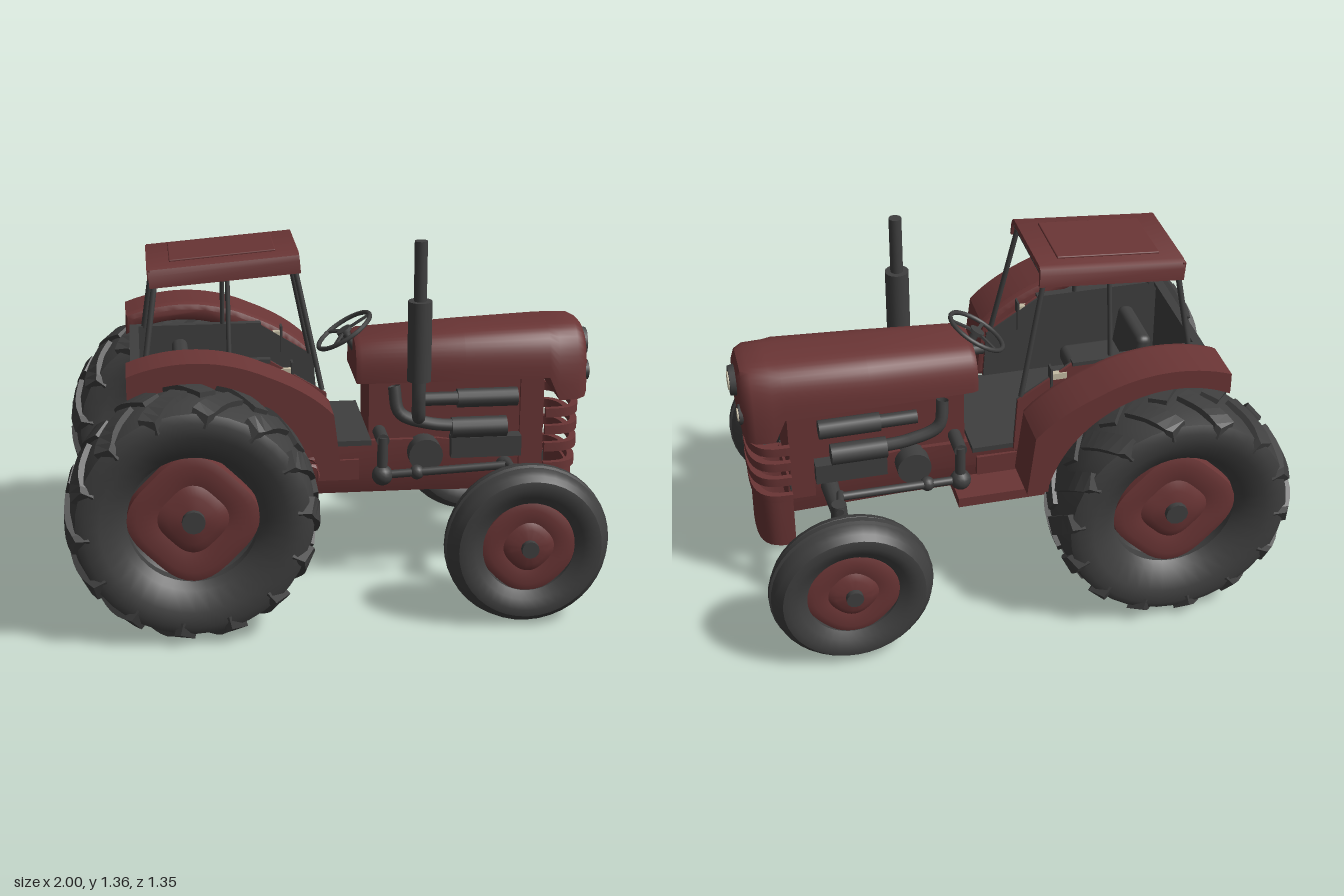
import * as THREE from 'three';
import { mergeGeometries, toCreasedNormals } from 'three/addons/utils/BufferGeometryUtils.js';
import { RoundedBoxGeometry } from 'three/addons/geometries/RoundedBoxGeometry.js';

const V = (x, y, z) => new THREE.Vector3(x, y, z);

export function createModel() {
  const red = new THREE.MeshStandardMaterial({ color: 0x6a3535 });
  const dark = new THREE.MeshStandardMaterial({ color: 0x3f3f3f });
  const cream = new THREE.MeshStandardMaterial({ color: 0xc4bca4 });
  red.name = 'oxide red'; dark.name = 'charcoal'; cream.name = 'lamp cream';
  red.side = dark.side = THREE.DoubleSide;
  const model = new THREE.Group();
  model.name = 'tractor';

  const add = (name, geo, mat, pos = [0, 0, 0], parent = model) => {
    const m = new THREE.Mesh(geo, mat);
    m.name = name;
    m.position.set(...pos);
    parent.add(m);
    return m;
  };
  const box = (name, mat, x0, x1, y0, y1, z0, z1) => add(name,
    new THREE.BoxGeometry(x1 - x0, y1 - y0, z1 - z0), mat, [(x0 + x1) / 2, (y0 + y1) / 2, (z0 + z1) / 2]);
  const rod = (name, mat, a, b, r, r2 = r, n = 14) => {
    const p = V(...a), q = V(...b), d = q.clone().sub(p);
    const m = add(name, new THREE.CylinderGeometry(r2, r, d.length(), n), mat, p.clone().add(q).multiplyScalar(0.5).toArray());
    m.quaternion.setFromUnitVectors(V(0, 1, 0), d.normalize());
    return m;
  };
  const tube = (name, mat, pts, r) => add(name,
    new THREE.TubeGeometry(new THREE.CatmullRomCurve3(pts.map(p => V(...p))), 24, r, 10), mat);
  const ball = (name, mat, pos, r) => add(name, new THREE.SphereGeometry(r, 14, 10), mat, pos);
  const shapeOf = pts => new THREE.Shape(pts.map(p => new THREE.Vector2(...p)));
  const extrude = (shape, depth) => toCreasedNormals(
    new THREE.ExtrudeGeometry(shape, { depth, bevelEnabled: false, curveSegments: 16 }), 0.6);
  const sides = fn => [1, -1].forEach(fn);

  // Skin between rings along +x; each ring runs from +z over the top to -z
  const loft = (rings, crease = 0.6) => {
    const pos = [], n = rings[0].length;
    const tri = (a, b, c) => pos.push(...a, ...b, ...c);
    const centre = r => [0, 1, 2].map(k => r.reduce((s, p) => s + p[k], 0) / n);
    const first = rings[0], last = rings[rings.length - 1], c0 = centre(first), c1 = centre(last);
    for (let j = 0; j < n; j++) {
      const k = (j + 1) % n;
      for (let i = 0; i < rings.length - 1; i++) {
        const a = rings[i], b = rings[i + 1];
        tri(a[j], b[j], a[k]);
        tri(b[j], b[k], a[k]);
      }
      tri(c0, first[j], first[k]);
      tri(c1, last[k], last[j]);
    }
    const g = new THREE.BufferGeometry();
    g.setAttribute('position', new THREE.Float32BufferAttribute(pos, 3));
    return toCreasedNormals(g, crease);
  };

  // Bonnet: x, half width, bottom, top
  const arch = ([x, w, yb, yt]) => Array.from({ length: 25 }, (_, i) => {
    const t = Math.PI * i / 24, c = Math.cos(t);
    return [x, yb + (yt - yb) * Math.max(0, Math.sin(t)) ** 0.75, w * Math.sign(c) * Math.abs(c) ** 0.55];
  });
  add('bonnet', loft([[0.09, 0.15, 0.8, 0.95], [0.11, 0.158, 0.8, 0.963], [0.5, 0.175, 0.805, 0.985],
    [0.82, 0.188, 0.81, 0.998], [0.86, 0.188, 0.72, 1], [0.93, 0.182, 0.72, 1],
    [0.96, 0.165, 0.725, 0.985], [0.972, 0.14, 0.74, 0.955]].map(arch), 0.7), red);

  // Headlamps
  const lamp = (y, z, r, x) => {
    const bezel = add('lampBezel', new THREE.CylinderGeometry(r, r * 1.1, 0.03, 12), dark, [x, y, z]);
    bezel.rotation.z = -Math.PI / 2;
    const lens = add('lampLens', new THREE.CylinderGeometry(r * 0.66, r * 0.66, 0.008, 8), cream, [x + 0.016, y, z]);
    lens.rotation.z = -Math.PI / 2;
  };
  lamp(0.895, 0, 0.055, 0.98);
  sides(s => lamp(0.815, s * 0.112, 0.038, 0.965));

  // Curved grille bars and nose panel
  const band = (name, y0, y1, w, nose) => {
    const outer = [], inner = [];
    for (let i = 0; i <= 16; i++) {
      const t = Math.PI * (i / 16 - 0.5), c = Math.max(0, Math.cos(t)) ** 0.6, s = Math.sign(Math.sin(t)) * Math.abs(Math.sin(t)) ** 0.7;
      outer.push([0.81 + (nose - 0.81) * c, w * s]);
      inner.unshift([0.81 + (nose - 0.835) * c, (w - 0.022) * s]);
    }
    const g = extrude(shapeOf([...outer, ...inner]), y1 - y0);
    g.rotateX(-Math.PI / 2);
    add(name, g, red, [0, y0, 0]);
  };
  [0.65, 0.58, 0.51].forEach((y, i) => band('grilleBar', y, y + 0.035, 0.182 - i * 0.003, 0.96));
  band('nosePanelRim', 0.435, 0.465, 0.175, 0.955);
  band('nosePanel', 0.222, 0.435, 0.162, 0.945);
  box('radiator', red, 0.72, 0.81, 0.42, 0.81, -0.14, 0.14);
  box('radiatorSlot', dark, 0.81, 0.815, 0.46, 0.5, -0.14, 0.14);

  // Chassis, engine and rear housing
  const trap = ([x, y0, y1, wt, wb]) => [[x, (y0 + y1) / 2, wt], [x, y1, wt], [x, y1, -wt], [x, (y0 + y1) / 2, -wt], [x, y0, -wb], [x, y0, wb]];
  add('chassis', loft([[-0.65, 0.32, 0.6, 0.2, 0.14], [-0.5, 0.28, 0.6, 0.23, 0.14], [-0.25, 0.31, 0.58, 0.22, 0.14],
    [-0.05, 0.35, 0.57, 0.15, 0.11], [0.4, 0.35, 0.57, 0.14, 0.11], [0.82, 0.33, 0.5, 0.12, 0.1]].map(trap)), red);
  box('engineBlock', red, 0.14, 0.74, 0.5, 0.82, -0.125, 0.125);
  add('differentialHousing', new RoundedBoxGeometry(0.4, 0.38, 0.39, 6, 0.1), red, [-0.585, 0.44, 0]);
  box('sidePlate', red, -0.06, 0.1, 0.42, 0.5, -0.16, 0.16);
  box('stepBox', red, -0.16, 0.2, 0.37, 0.41, -0.28, -0.14);

  // Drawbar
  box('drawbar', red, -0.83, -0.6, 0.26, 0.29, -0.035, 0.035);
  const eye = add('drawbarEye', new THREE.TorusGeometry(0.027, 0.012, 8, 16), red, [-0.845, 0.275, 0]);
  eye.rotation.x = Math.PI / 2;

  // Cab tub with dark lining and rim
  const tub = [[-0.74, 0.58], [-0.74, 0.93], [-0.24, 0.93], [-0.035, 0.8], [-0.02, 0.58]];
  sides(s => {
    add('cabSide', extrude(shapeOf(tub), 0.012), red, [0, 0, s * 0.246 - 0.006]);
    add('cabSideLining', extrude(shapeOf(tub), 0.006), dark, [0, 0, s * 0.236 - 0.003]);
    box('cabSideRim', dark, -0.745, -0.24, 0.925, 0.94, s * 0.245 - 0.016, s * 0.245 + 0.016);
    box('workLamp', cream, -0.22, -0.165, 0.875, 0.9, s * 0.247 - 0.011, s * 0.247 + 0.011);
    box('workLampGuard', dark, -0.165, -0.157, 0.8, 0.925, s * 0.242 - 0.02, s * 0.242 + 0.02);
  });
  box('cabRear', red, -0.745, -0.733, 0.56, 0.93, -0.245, 0.245);
  box('cabRearLining', dark, -0.732, -0.726, 0.58, 0.93, -0.24, 0.24);
  box('cabRearRim', dark, -0.75, -0.715, 0.925, 0.94, -0.26, 0.26);
  box('floor', dark, -0.74, 0.135, 0.585, 0.605, -0.24, 0.24);

  // Seat
  add('seatCushion', new RoundedBoxGeometry(0.24, 0.07, 0.26, 3, 0.025), dark, [-0.42, 0.74, 0]);
  add('seatBack', new RoundedBoxGeometry(0.06, 0.2, 0.26, 3, 0.025), dark, [-0.55, 0.82, 0]).rotation.z = 0.15;
  box('seatBase', dark, -0.5, -0.34, 0.6, 0.72, -0.08, 0.08);

  // Roof: hollow shell with rounded sides, dark lining, and its posts
  const roof = new THREE.Group();
  roof.name = 'roof';
  roof.position.set(-0.4, 1.265, 0);
  roof.rotation.z = 0.08;
  model.add(roof);
  const half = [[0.21, -0.04], [0.207, 0.005], [0.197, 0.025], [0.178, 0.034]];
  const hollow = [[0.17, 0.014], [0.188, 0.008], [0.198, -0.04]];
  const flip = pts => pts.map(([z, y]) => [-z, y]).reverse();
  add('roofShell', extrude(shapeOf([...half, ...flip(half), ...flip(hollow), ...hollow]), 0.55).rotateY(Math.PI / 2),
    red, [-0.275, 0, 0], roof);
  add('roofRearLip', new THREE.BoxGeometry(0.012, 0.035, 0.4), red, [-0.273, 0.008, 0], roof);
  add('roofPanel', new RoundedBoxGeometry(0.39, 0.01, 0.27, 2, 0.004), red, [0, 0.036, 0], roof);
  add('roofLining', new THREE.BoxGeometry(0.535, 0.006, 0.375), dark, [0.004, 0.004, 0], roof);
  sides(s => {
    rod('frontPost', dark, [-0.145, 1.27, s * 0.19], [-0.05, 0.81, s * 0.238], 0.01);
    rod('middlePost', dark, [-0.39, 1.26, s * 0.19], [-0.39, 0.93, s * 0.24], 0.009);
    rod('rearPost', dark, [-0.65, 1.24, s * 0.19], [-0.695, 0.93, s * 0.24], 0.011);
  });

  // Steering wheel
  const steer = new THREE.Group();
  steer.name = 'steeringWheel';
  steer.position.set(0.06, 0.965, 0);
  steer.rotation.z = 0.57;
  model.add(steer);
  add('steeringRim', new THREE.TorusGeometry(0.115, 0.009, 8, 28).rotateX(Math.PI / 2), dark, [0, 0, 0], steer);
  add('steeringHub', new THREE.CylinderGeometry(0.03, 0.03, 0.014, 16), dark, [0, 0, 0], steer);
  for (let i = 0; i < 3; i++) add('steeringSpoke', new THREE.BoxGeometry(0.11, 0.008, 0.014).translate(0.055, 0, 0), dark, [0, 0, 0], steer).rotation.y = i * Math.PI * 2 / 3;
  rod('steeringColumn', dark, [0.06, 0.965, 0], [0.14, 0.83, 0], 0.016);
  rod('gauge', dark, [0.05, 0.925, -0.06], [0.1, 0.925, -0.06], 0.02);

  // Exhaust stack and side machinery
  rod('exhaustPipe', dark, [0.314, 1.1, 0.226], [0.314, 1.36, 0.226], 0.024);
  rod('muffler', dark, [0.314, 0.83, 0.226], [0.314, 1.135, 0.226], 0.045, 0.045, 20);
  tube('exhaustElbow', dark, [[0.314, 0.85, 0.226], [0.314, 0.75, 0.225], [0.318, 0.68, 0.205], [0.33, 0.66, 0.13]], 0.026);
  sides(s => {
    rod('intakePipe', dark, [0.33, 0.735, s * 0.165], [0.5, 0.735, s * 0.165], 0.026);
    rod('airCleaner', dark, [0.47, 0.735, s * 0.165], [0.7, 0.735, s * 0.165], 0.036);
    tube('sidePipe', dark, [[0.23, 0.79, s * 0.16], [0.25, 0.69, s * 0.18], [0.36, 0.645, s * 0.18], [0.52, 0.625, s * 0.17]], 0.024);
    rod('filter', dark, [0.45, 0.62, s * 0.17], [0.66, 0.62, s * 0.17], 0.04);
    rod('generator', dark, [0.35, 0.52, s * 0.1], [0.35, 0.52, s * 0.2], 0.065, 0.065, 20);
    box('engineCover', dark, 0.45, 0.72, 0.5, 0.58, s * 0.15 - 0.03, s * 0.15 + 0.03);
    // Steering linkage and axles
    rod('steeringDropArm', dark, [0.18, 0.61, s * 0.225], [0.18, 0.43, s * 0.225], 0.02);
    ball('dropArmJoint', dark, [0.18, 0.46, s * 0.225], 0.04);
    rod('dropArmShaft', dark, [0.18, 0.6, s * 0.1], [0.18, 0.6, s * 0.235], 0.025);
    rod('dragLink', dark, [0.18, 0.46, s * 0.225], [0.64, 0.5, s * 0.275], 0.016);
    ball('dragLinkJoint', dark, [0.31, 0.47, s * 0.235], 0.028);
    rod('steeringLever', dark, [0.645, 0.505, s * 0.26], [0.665, 0.505, s * 0.375], 0.014);
    rod('kingpin', dark, [0.665, 0.31, s * 0.345], [0.665, 0.52, s * 0.345], 0.042, 0.028);
    ball('kingpinFoot', dark, [0.665, 0.315, s * 0.345], 0.042);
    rod('frontAxle', dark, [0.665, 0.44, 0], [0.665, 0.465, s * 0.345], 0.038, 0.026);
    rod('stubAxle', dark, [0.665, 0.303, s * 0.34], [0.665, 0.303, s * 0.54], 0.028);
    rod('rearAxle', red, [-0.545, 0.46, s * 0.15], [-0.545, 0.46, s * 0.33], 0.1, 0.055, 20);
    rod('rearAxleShaft', dark, [-0.545, 0.46, s * 0.3], [-0.545, 0.46, s * 0.5], 0.05);
  });

  // Mudguards: curved shell with a filled front, chamfered on the inner edge
  const guard = new THREE.Shape();
  guard.moveTo(-0.765, 0.9);
  guard.lineTo(-0.765, 0.965);
  guard.bezierCurveTo(-0.6, 1.03, -0.42, 1.02, -0.27, 0.95);
  guard.bezierCurveTo(-0.17, 0.91, -0.09, 0.86, -0.035, 0.8);
  guard.lineTo(-0.005, 0.56);
  guard.lineTo(-0.085, 0.56);
  guard.absarc(-0.545, 0.46, 0.475, 0.21, 2.05, false);
  sides(s => {
    add('mudguard', extrude(guard, 0.178), red, [0, 0, s > 0 ? 0.33 : -0.508]);
    const edge = new THREE.ExtrudeGeometry(guard, { depth: 0.001, bevelThickness: 0.03, bevelSize: 0.025, bevelOffset: -0.025, bevelSegments: 2, curveSegments: 16 });
    add('mudguardEdge', toCreasedNormals(edge, 0.6), red, [0, 0, s * 0.331]);
  });

  // Wheels, built with the axle along z and the outer face at +z
  const lathe = (pts, n = 40) => toCreasedNormals(
    new THREE.LatheGeometry(pts.map(p => new THREE.Vector2(...p)), n).rotateX(Math.PI / 2), 0.6);
  // One tread lug, curved down over the shoulder
  const lug = (h, yaw, angle) => {
    const g = new THREE.BoxGeometry(0.05, 0.07, 0.21, 1, 1, 6).rotateX(yaw).translate(0, 0, h * 0.075);
    const p = g.attributes.position;
    for (let i = 0; i < p.count; i++) {
      const z = p.getZ(i), y = p.getY(i);
      p.setX(i, p.getX(i) + 0.43 - 0.04 * Math.min(1, Math.abs(z) / 0.165) ** 4 - y * y);
      p.setZ(i, THREE.MathUtils.clamp(z, -0.163, 0.163));
    }
    return g.rotateZ(angle);
  };
  const wheel = (name, x, y, z, s, tyre, cap, lobes, hub, back, lugs) => {
    const g = new THREE.Group();
    g.name = name;
    g.position.set(x, y, s * z);
    if (s < 0) g.rotation.y = Math.PI;
    model.add(g);
    add('tyre', lathe(tyre), dark, [0, 0, 0], g);
    add('rimBack', lathe(back), dark, [0, 0, 0], g);
    const face = lathe(cap, 48), p = face.attributes.position;
    for (let i = 0; i < p.count; i++) {
      const k = 1 + lobes * Math.cos(4 * Math.atan2(p.getY(i), p.getX(i)));
      p.setXY(i, p.getX(i) * k, p.getY(i) * k);
    }
    add('wheelDisc', toCreasedNormals(face, 0.6), red, [0, 0, 0], g);
    add('hub', new THREE.CylinderGeometry(hub[0], hub[0], 0.03, 12).rotateX(Math.PI / 2), dark, [0, 0, hub[1]], g);
    if (!lugs) return;
    const bars = [];
    for (let i = 0; i < 14; i++) sides(h => bars.push(lug(h, -h * s * 0.65, (i + (h > 0 ? 0 : 0.5)) * Math.PI / 7)));
    const tread = mergeGeometries(bars).toNonIndexed();
    tread.computeVertexNormals();
    add('treadLugs', tread, dark, [0, 0, 0], g);
  };
  const rearTyre = [[0.235, -0.09], [0.26, -0.12], [0.33, -0.155], [0.385, -0.16], [0.415, -0.145], [0.433, -0.08], [0.439, 0],
    [0.433, 0.08], [0.415, 0.145], [0.385, 0.16], [0.33, 0.155], [0.26, 0.12], [0.235, 0.09], [0.235, -0.09]];
  const frontTyre = [[0.17, -0.05], [0.2, -0.07], [0.235, -0.085], [0.262, -0.08], [0.28, -0.06], [0.291, -0.045], [0.297, -0.022],
    [0.291, -0.017], [0.303, -0.011], [0.303, 0.011], [0.291, 0.017], [0.297, 0.022], [0.291, 0.045],
    [0.28, 0.06], [0.262, 0.08], [0.235, 0.085], [0.2, 0.07], [0.17, 0.05], [0.17, -0.05]];
  sides(s => {
    wheel('rearWheel', -0.545, 0.46, 0.513, s, rearTyre,
      [[0.228, 0.05], [0.222, 0.085], [0.19, 0.095], [0.12, 0.08], [0.085, 0.098], [0.001, 0.1]], 0.06, [0.042, 0.105],
      [[0.25, 0.06], [0.2, 0.02], [0.1, -0.02], [0.001, -0.02]], true);
    wheel('frontWheel', 0.666, 0.303, 0.555, s, frontTyre,
      [[0.175, 0.02], [0.17, 0.045], [0.14, 0.056], [0.09, 0.046], [0.065, 0.061], [0.001, 0.063]], 0.035, [0.032, 0.068],
      [[0.18, 0.03], [0.14, -0.01], [0.07, -0.04], [0.001, -0.04]], false);
  });

  return model;
}
